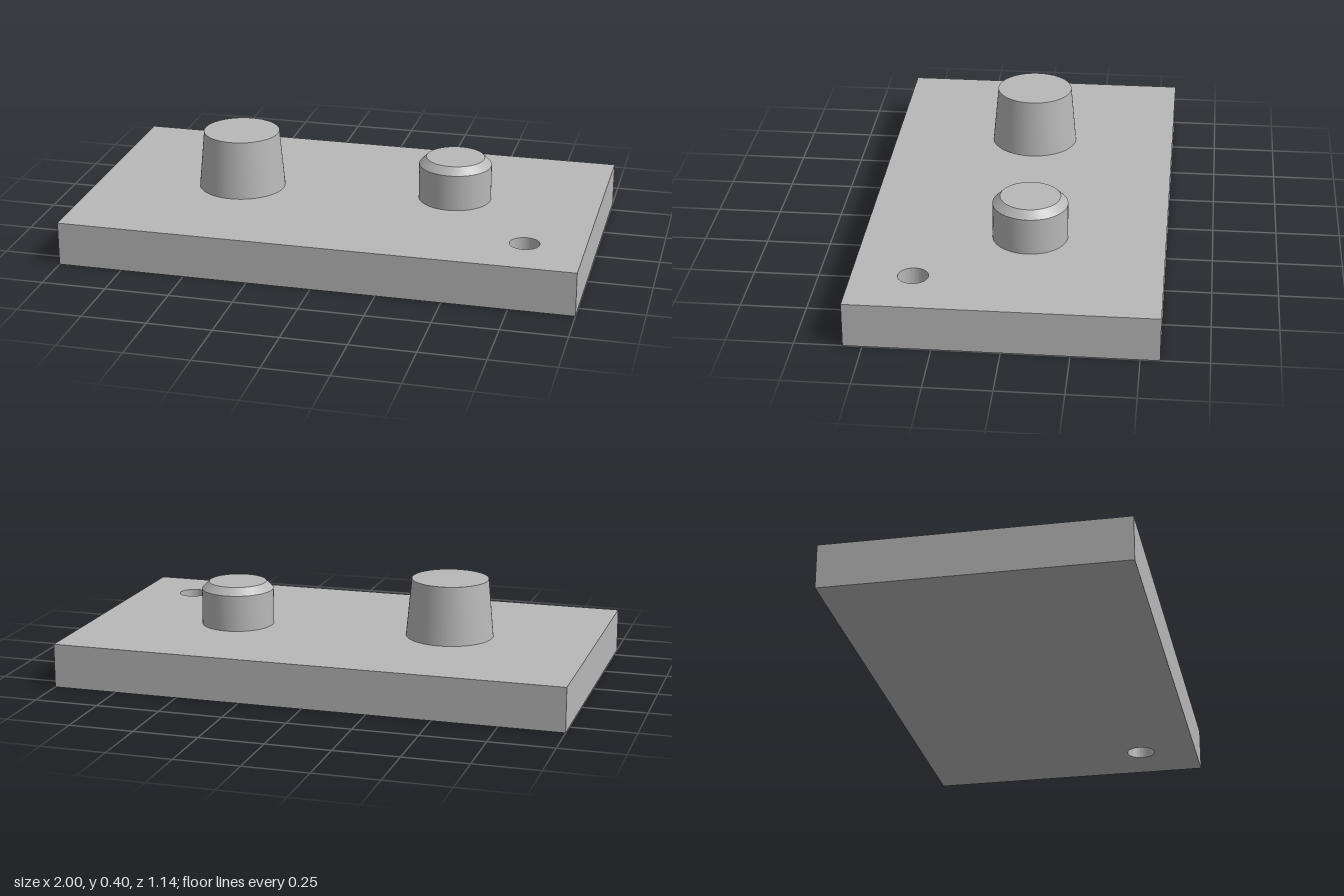
import * as THREE from 'three';
import { toCreasedNormals } from 'three/addons/utils/BufferGeometryUtils.js';

const U = 2 / 35; // the plate is 35 units long
const TOP = 3 * U; // height of the plate's upper face

export function createModel() {
  const group = new THREE.Group();
  const grey = new THREE.MeshStandardMaterial({ color: 0xb8b8b8 });
  grey.name = 'plain grey';

  const add = (name, geometry, x = 0, y = 0, z = 0) => {
    const mesh = new THREE.Mesh(geometry, grey);
    mesh.name = name;
    mesh.position.set(x, y, z);
    group.add(mesh);
  };

  // Turned boss standing on the plate, from [radius, height] pairs
  const boss = (profile) => toCreasedNormals(
    new THREE.LatheGeometry(profile.map(([r, y]) => new THREE.Vector2(r * U, y * U)), 64), 0.5);

  // Base plate with a through hole near the front left corner
  const outline = new THREE.Shape();
  outline.moveTo(-17.5 * U, -10 * U);
  outline.lineTo(17.5 * U, -10 * U);
  outline.lineTo(17.5 * U, 10 * U);
  outline.lineTo(-17.5 * U, 10 * U);
  outline.closePath();
  const hole = new THREE.Path();
  hole.absarc(13.5 * U, -6 * U, U, 0, Math.PI * 2, true);
  outline.holes.push(hole);
  const plate = new THREE.ExtrudeGeometry(outline, { depth: TOP, bevelEnabled: false, curveSegments: 48 });
  plate.rotateX(-Math.PI / 2);
  add('basePlate', toCreasedNormals(plate, 0.5));

  // Tapered boss
  add('taperedBoss', boss([[3, 0], [2.63, 4], [0, 4]]), -7.5 * U, TOP, 0);

  // Straight boss with a chamfered rim
  add('chamferedBoss', boss([[2.5, 0], [2.5, 2.5], [2, 3], [0, 3]]), 7.5 * U, TOP, -U);

  return group;
}
